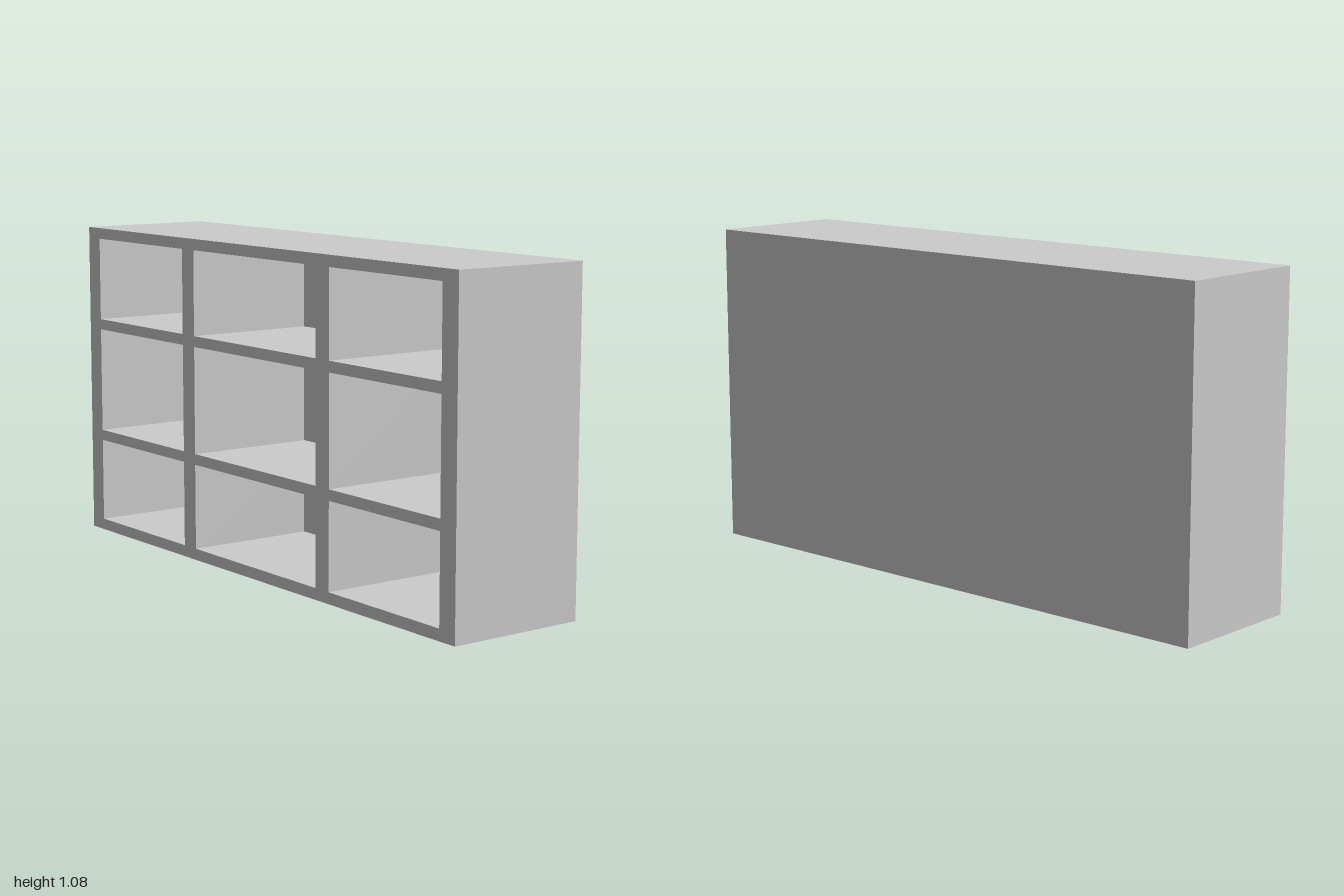
import * as THREE from 'three';

const HEIGHT = 1.075, DEPTH = 0.47, BACK = 0.02;
const COLUMNS = [[-0.93, -0.403], [-0.335, 0.335], [0.403, 0.93]];
const ROWS = [[0.038, 0.324], [0.36, 0.719], [0.755, 1.038]];

// Traces a rectangle on a Shape or Path
function rectangle(path, x0, y0, x1, y1) {
  path.moveTo(x0, y0);
  path.lineTo(x1, y0);
  path.lineTo(x1, y1);
  path.lineTo(x0, y1);
  path.closePath();
  return path;
}

export function createModel() {
  const group = new THREE.Group();
  group.name = 'shelfUnit';
  const material = new THREE.MeshStandardMaterial({ color: 0xcccccc });

  // Carcass: sides, shelves and dividers around nine open compartments
  const face = rectangle(new THREE.Shape(), -1, 0, 1, HEIGHT);
  for (const [x0, x1] of COLUMNS) {
    for (const [y0, y1] of ROWS) {
      face.holes.push(rectangle(new THREE.Path(), x0, y0, x1, y1));
    }
  }
  const carcass = new THREE.Mesh(
    new THREE.ExtrudeGeometry(face, { depth: DEPTH - BACK, bevelEnabled: false }),
    material
  );
  carcass.name = 'carcass';
  carcass.position.z = -DEPTH / 2 + BACK;
  group.add(carcass);

  // Thin back panel closing every compartment
  const backPanel = new THREE.Mesh(new THREE.BoxGeometry(2, HEIGHT, BACK), material);
  backPanel.name = 'backPanel';
  backPanel.position.set(0, HEIGHT / 2, -DEPTH / 2 + BACK / 2);
  group.add(backPanel);

  return group;
}
